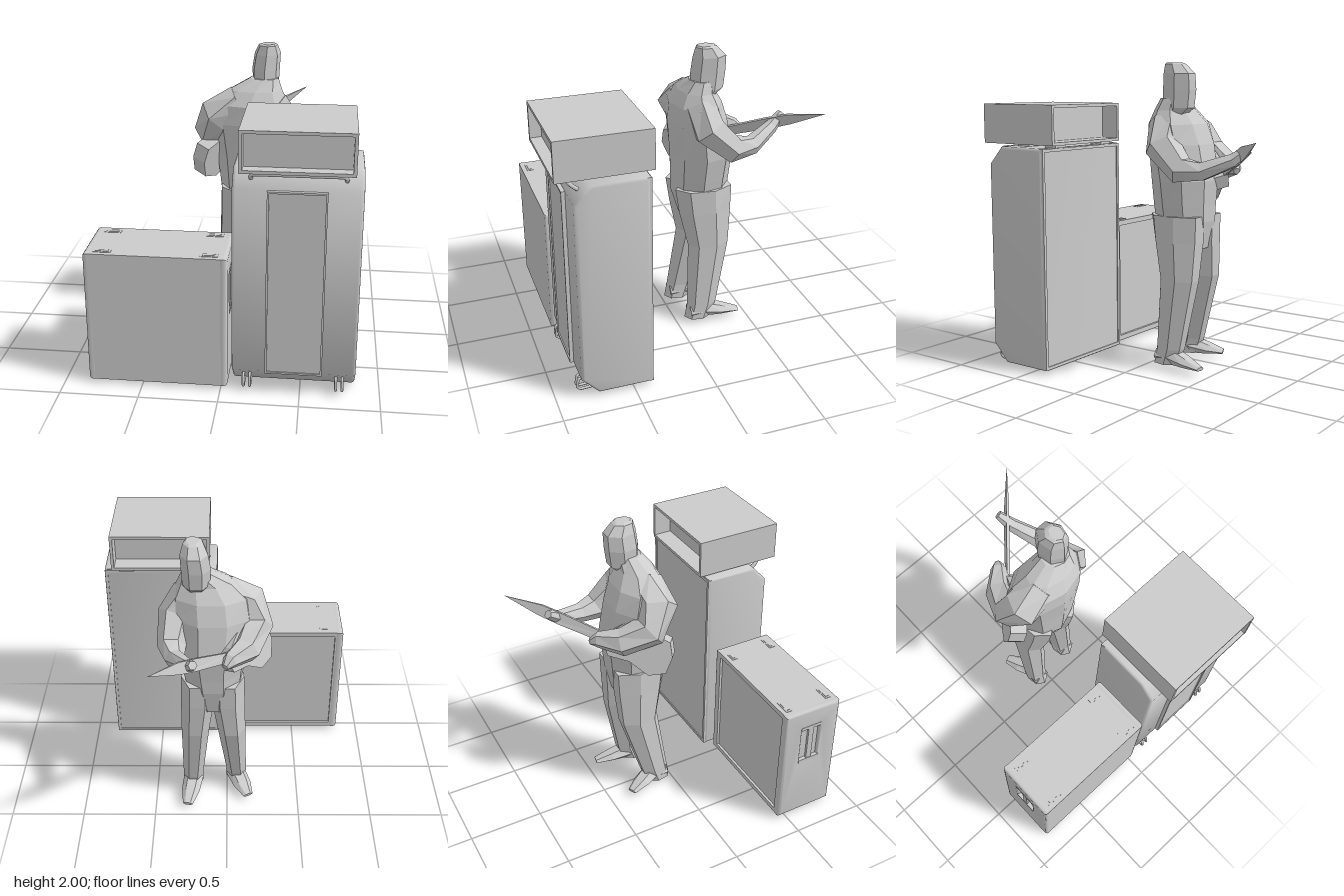
import * as THREE from 'three';
import { toCreasedNormals } from 'three/addons/utils/BufferGeometryUtils.js';

const mat = new THREE.MeshStandardMaterial({ color: 0xcccccc });
const matSide = new THREE.MeshStandardMaterial({ color: 0xcccccc, side: THREE.DoubleSide });
const matFlat = new THREE.MeshStandardMaterial({ color: 0xcccccc, flatShading: true, side: THREE.DoubleSide });

function add(parent, name, geo, material = mat) {
  const m = new THREE.Mesh(geo, material);
  m.name = name;
  parent.add(m);
  return m;
}

// Box given by its limits on each axis
function box(parent, name, [x0, x1], [y0, y1], [z0, z1]) {
  const g = new THREE.BoxGeometry(x1 - x0, y1 - y0, z1 - z0);
  g.translate((x0 + x1) / 2, (y0 + y1) / 2, (z0 + z1) / 2);
  return add(parent, name, g);
}

const poly = pts => new THREE.Shape(pts.map(p => new THREE.Vector2(...p)));
const rect = (a0, a1, b0, b1) => poly([[a0, b0], [a1, b0], [a1, b1], [a0, b1]]);

// Rectangular frame open along z
function frame(parent, name, [x0, x1, y0, y1], wall, [z0, z1]) {
  const s = rect(x0, x1, y0, y1);
  s.holes.push(rect(x0 + wall, x1 - wall, y0 + wall, y1 - wall));
  const g = new THREE.ExtrudeGeometry(s, { depth: z1 - z0, bevelEnabled: false });
  g.translate(0, 0, z0);
  return add(parent, name, g, matSide);
}

// Side profile drawn in (z, y), extruded across x with rounded edges
function acrossX(parent, name, shape, x0, x1, b) {
  const g = new THREE.ExtrudeGeometry(shape, {
    depth: x1 - x0 - 2 * b, bevelSize: b, bevelThickness: b, bevelOffset: -b, bevelSegments: 3 });
  g.rotateY(-Math.PI / 2);
  g.translate(x1 - b, 0, 0);
  return add(parent, name, toCreasedNormals(g, 0.9), matSide);
}

// Faceted skin over rings [x, y, z, width radius, depth radius];
// rings lie level, or square to the path for limbs
function loft(parent, name, rings, { level = true, n = 8 } = {}) {
  const pos = [], idx = [];
  const P = rings.map(r => new THREE.Vector3(r[0], r[1], r[2]));
  rings.forEach((r, i) => {
    const t = level ? new THREE.Vector3(0, 1, 0)
      : P[Math.min(i + 1, P.length - 1)].clone().sub(P[Math.max(i - 1, 0)]).normalize();
    const u = t.clone().cross(new THREE.Vector3(1, 0, 0)).normalize();
    const v = u.clone().cross(t);
    for (let j = 0; j < n; j++) {
      const a = (j + 0.5) / n * Math.PI * 2, k = 1 / Math.cos(Math.PI / n);
      const p = P[i].clone().addScaledVector(u, Math.cos(a) * k * (r[4] ?? r[3]))
        .addScaledVector(v, Math.sin(a) * k * r[3]);
      pos.push(p.x, p.y, p.z);
    }
  });
  for (let i = 0; i < rings.length - 1; i++) for (let j = 0; j < n; j++) {
    const a = i * n + j, b = i * n + (j + 1) % n;
    idx.push(a, a + n, b, b, a + n, b + n);
  }
  const last = (rings.length - 1) * n;
  for (let j = 1; j < n - 1; j++) idx.push(0, j, j + 1, last, last + j + 1, last + j);
  const g = new THREE.BufferGeometry();
  g.setAttribute('position', new THREE.Float32BufferAttribute(pos, 3));
  g.setIndex(idx);
  g.computeVertexNormals();
  return add(parent, name, g, matFlat);
}

function tube(parent, name, pts, r) {
  const c = new THREE.CatmullRomCurve3(pts.map(p => new THREE.Vector3(...p)), false, 'catmullrom', 0.1);
  return add(parent, name, new THREE.TubeGeometry(c, 40, r, 8), matSide);
}

function rubberFoot(parent, x, z) {
  const g = new THREE.CylinderGeometry(0.012, 0.009, 0.03, 10);
  g.translate(x, 0.015, z);
  add(parent, 'rubberFoot', g);
}

function smallCabinet() {
  const g = new THREE.Group();
  g.name = 'smallCabinet';
  frame(g, 'shell', [-0.82, 0.02, 0.025, 0.9], 0.035, [0.437, 0.855]);
  box(g, 'innerPanel', [-0.79, -0.01], [0.05, 0.88], [0.455, 0.855]);
  // Side walls with a handle cup cut in each
  for (const [x0, x1, bar] of [[-0.845, -0.785, -0.835], [-0.015, 0.045, 0.035]]) {
    const s = rect(0.435, 0.855, 0.025, 0.9);
    s.holes.push(rect(0.57, 0.71, 0.49, 0.75));
    acrossX(g, 'sideWall', s, x0, x1, 0.02);
    box(g, 'handleBar', [bar - 0.008, bar + 0.008], [0.48, 0.76], [0.62, 0.66]);
    for (const y of [0.48, 0.76]) box(g, 'handleRim', [bar - 0.012, bar + 0.012], [y - 0.012, y + 0.012], [0.56, 0.72]);
  }
  // Stacking cups on top, feet below
  for (const x of [-0.73, -0.07]) for (const z of [0.49, 0.8]) {
    box(g, 'stackingCup', [x - 0.055, x + 0.055], [0.895, 0.903], [z - 0.022, z + 0.022]);
    box(g, 'stackingCupInner', [x - 0.04, x + 0.04], [0.9, 0.906], [z - 0.012, z + 0.012]);
    rubberFoot(g, x < -0.4 ? -0.75 : -0.05, z);
  }
  return g;
}

function tallCabinet() {
  const g = new THREE.Group();
  g.name = 'tallCabinet';
  const profile = poly([[0.38, 0.025], [0.73, 0.025], [0.84, 0.14], [0.84, 1.35], [0.735, 1.465], [0.38, 1.465]]);
  acrossX(g, 'body', profile, 0.07, 0.845, 0.02);
  frame(g, 'backRim', [0.075, 0.84, 0.03, 1.46], 0.02, [0.373, 0.4]);
  box(g, 'frontPanel', [0.29, 0.625], [0.15, 1.34], [0.83, 0.857]);
  frame(g, 'frontPanelTrim', [0.28, 0.635, 0.14, 1.35], 0.012, [0.83, 0.865]);
  // Lifting bar over the top slope
  tube(g, 'liftingBar', [[0.18, 1.39, 0.77], [0.18, 1.43, 0.82], [0.21, 1.447, 0.84],
    [0.71, 1.447, 0.84], [0.74, 1.43, 0.82], [0.74, 1.39, 0.77]], 0.013);
  // Paired skid rods across the bottom slope
  for (const x of [0.165, 0.745]) {
    for (const d of [-0.02, 0.02])
      tube(g, 'skidRod', [[x + d, 0.11, 0.8], [x + d, 0.1, 0.845], [x + d, 0.04, 0.853],
        [x + d, 0.025, 0.83], [x + d, 0.03, 0.72]], 0.009);
    rubberFoot(g, x, 0.46);
  }
  return g;
}

function topUnit() {
  const g = new THREE.Group();
  g.name = 'topUnit';
  frame(g, 'case', [0.12, 0.79, 1.48, 1.737], 0.02, [0.335, 0.935]);
  box(g, 'innerBlock', [0.13, 0.78], [1.49, 1.727], [0.46, 0.86]);
  for (const x of [0.24, 0.69]) for (const z of [0.4, 0.63])
    box(g, 'caseFoot', [x - 0.05, x + 0.05], [1.463, 1.485], [z - 0.045, z + 0.045]);
  return g;
}

function instrument() {
  const g = new THREE.Group();
  g.name = 'stringInstrument';
  // Local x runs towards the tip of the neck
  const d = new THREE.Vector3(0.45, 0.23, -0.51).normalize();
  const n = new THREE.Vector3(-0.55, 0.25, -0.6);
  n.addScaledVector(d, -n.dot(d)).normalize();
  g.applyMatrix4(new THREE.Matrix4().makeBasis(d, n.clone().cross(d), n));
  g.position.set(0.45, 1.53, -0.93);
  const body = new THREE.ExtrudeGeometry(poly([[-1.15, -0.06], [-1.1, -0.15], [-0.95, -0.16], [-0.78, -0.15],
    [-0.72, -0.06], [-0.7, 0.03], [-0.76, 0.1], [-0.9, 0.08], [-1.05, 0.12], [-1.15, 0.06]]),
    { depth: 0.11, bevelEnabled: false });
  body.translate(0, 0, -0.08);
  add(g, 'instrumentBody', body, matFlat);
  const neck = new THREE.ExtrudeGeometry(poly([[-0.8, -0.03], [-0.4, -0.045], [-0.25, -0.045], [0, 0],
    [-0.25, 0.03], [-0.4, 0.035], [-0.8, 0.03]]), { depth: 0.02, bevelEnabled: false });
  // Thin the neck to a blade towards its tip
  const p = neck.attributes.position;
  for (let i = 0; i < p.count; i++) p.setZ(i, p.getZ(i) * Math.min(1, 0.1 - p.getX(i) * 3));
  add(g, 'instrumentNeck', neck, matFlat);
  return g;
}

function figure() {
  const g = new THREE.Group();
  g.name = 'figure';
  loft(g, 'torso', [[0.085, 0.8, -0.21, 0.12, 0.14], [0.09, 0.98, -0.2, 0.185, 0.185], [0.095, 1.08, -0.2, 0.2, 0.19],
    [0.1, 1.25, -0.205, 0.225, 0.2], [0.09, 1.48, -0.175, 0.25, 0.185], [0.1, 1.61, -0.155, 0.24, 0.16],
    [0.13, 1.7, -0.15, 0.17, 0.11], [0.185, 1.775, -0.17, 0.09, 0.075]], { n: 9 });
  loft(g, 'head', [[0.19, 1.66, -0.17, 0.07, 0.07], [0.19, 1.715, -0.205, 0.08, 0.1],
    [0.19, 1.83, -0.213, 0.085, 0.105], [0.2, 1.93, -0.218, 0.08, 0.1], [0.205, 1.99, -0.195, 0.058, 0.065],
    [0.21, 2, -0.19, 0.04, 0.05]], { n: 7 });
  loft(g, 'rightArm', [[0.03, 1.62, -0.13, 0.1], [-0.12, 1.52, -0.13, 0.12], [-0.18, 1.4, -0.21, 0.1],
    [-0.12, 1.33, -0.38, 0.08], [-0.02, 1.33, -0.5, 0.045], [0.01, 1.31, -0.54, 0.02]], { level: false, n: 6 });
  loft(g, 'leftArm', [[0.24, 1.62, -0.14, 0.09], [0.325, 1.47, -0.18, 0.1], [0.35, 1.33, -0.34, 0.08],
    [0.325, 1.33, -0.48, 0.055], [0.24, 1.4, -0.65, 0.04], [0.2, 1.47, -0.74, 0.025]], { level: false, n: 6 });
  // Legs run from ankle to hip; the right foot stands further back
  for (const [name, hip, knee, ankle, toe, back] of [
    ['left', 0.195, 0.215, 0.24, 0.275, 0], ['right', -0.005, -0.03, -0.065, -0.15, 0.045]]) {
    loft(g, name + 'Leg', [[ankle, 0.035, -0.15 + back, 0.065, 0.085], [ankle, 0.14, -0.18 + back, 0.065, 0.095],
      [knee, 0.6, -0.23, 0.088, 0.13], [hip, 0.85, -0.21, 0.105, 0.165], [hip, 1.02, -0.2, 0.1, 0.18]], { n: 7 });
    loft(g, name + 'Foot', [[ankle, 0.08, -0.09 + back, 0.055, 0.045], [ankle, 0.085, -0.2 + back, 0.06, 0.05],
      [(ankle + toe) / 2, 0.065, -0.32 + back * 1.5, 0.055, 0.033],
      [toe, 0.045, -0.44 + back * 2, 0.03, 0.012]], { level: false, n: 6 });
  }
  g.add(instrument());
  return g;
}

export function createModel() {
  const model = new THREE.Group();
  model.name = 'stageSet';
  model.add(smallCabinet(), tallCabinet(), topUnit(), figure());
  return model;
}
